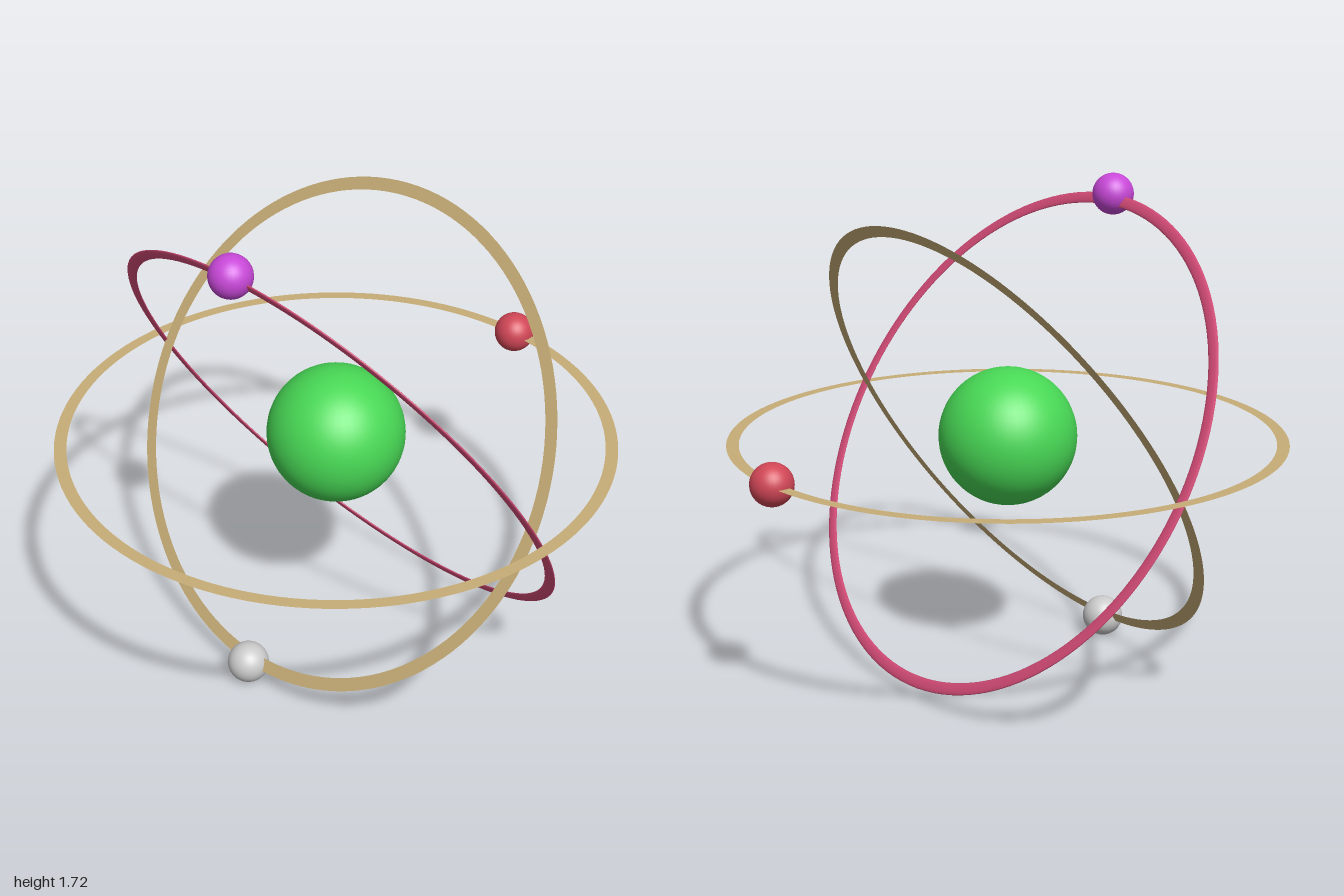
import * as THREE from 'three';

const paint = (color, side = THREE.FrontSide) => new THREE.MeshStandardMaterial({ color, side });

function addMesh(parent, name, geometry, material) {
  const mesh = new THREE.Mesh(geometry, material);
  mesh.name = name;
  parent.add(mesh);
  return mesh;
}

// Turns a ring from the XY plane into the YZ plane, then leans it about z
const lean = (geometry, degrees) =>
  geometry.rotateY(Math.PI / 2).rotateZ(THREE.MathUtils.degToRad(degrees));

export function createModel() {
  const group = new THREE.Group();
  group.name = 'atom';

  // Everything is placed around the nucleus
  const atom = new THREE.Group();
  atom.name = 'nucleusAndOrbits';
  atom.position.set(-0.025, 0.843, 0);
  group.add(atom);

  addMesh(atom, 'nucleus', new THREE.SphereGeometry(0.242, 48, 32), paint(0x48d855));

  // Flat orbits, paper thin
  const tan = paint(0xc8ae78, THREE.DoubleSide);
  addMesh(atom, 'levelOrbit', new THREE.RingGeometry(0.93, 0.973, 128).rotateX(-Math.PI / 2), tan);
  addMesh(atom, 'rightLeaningOrbit', lean(new THREE.RingGeometry(0.848, 0.893, 128), -30), tan);

  // Rounded orbit, flattened across its plane
  const band = new THREE.TorusGeometry(0.906, 0.021, 12, 128).scale(1, 1, 0.25);
  addMesh(atom, 'leftLeaningOrbit', lean(band, 30), paint(0xd64c78));

  // One electron per orbit: name, distance, angle in the XY plane, color
  const electrons = [
    ['levelElectron', 0.951, 0, 0xd04656],
    ['upperElectron', 0.928, 120, 0xc848d8],
    ['lowerElectron', 0.888, 240, 0xcccccc],
  ];
  for (const [name, radius, degrees, color] of electrons) {
    const a = THREE.MathUtils.degToRad(degrees);
    addMesh(atom, name, new THREE.SphereGeometry(0.073, 32, 24), paint(color))
      .position.set(radius * Math.cos(a), radius * Math.sin(a), 0);
  }

  return group;
}
